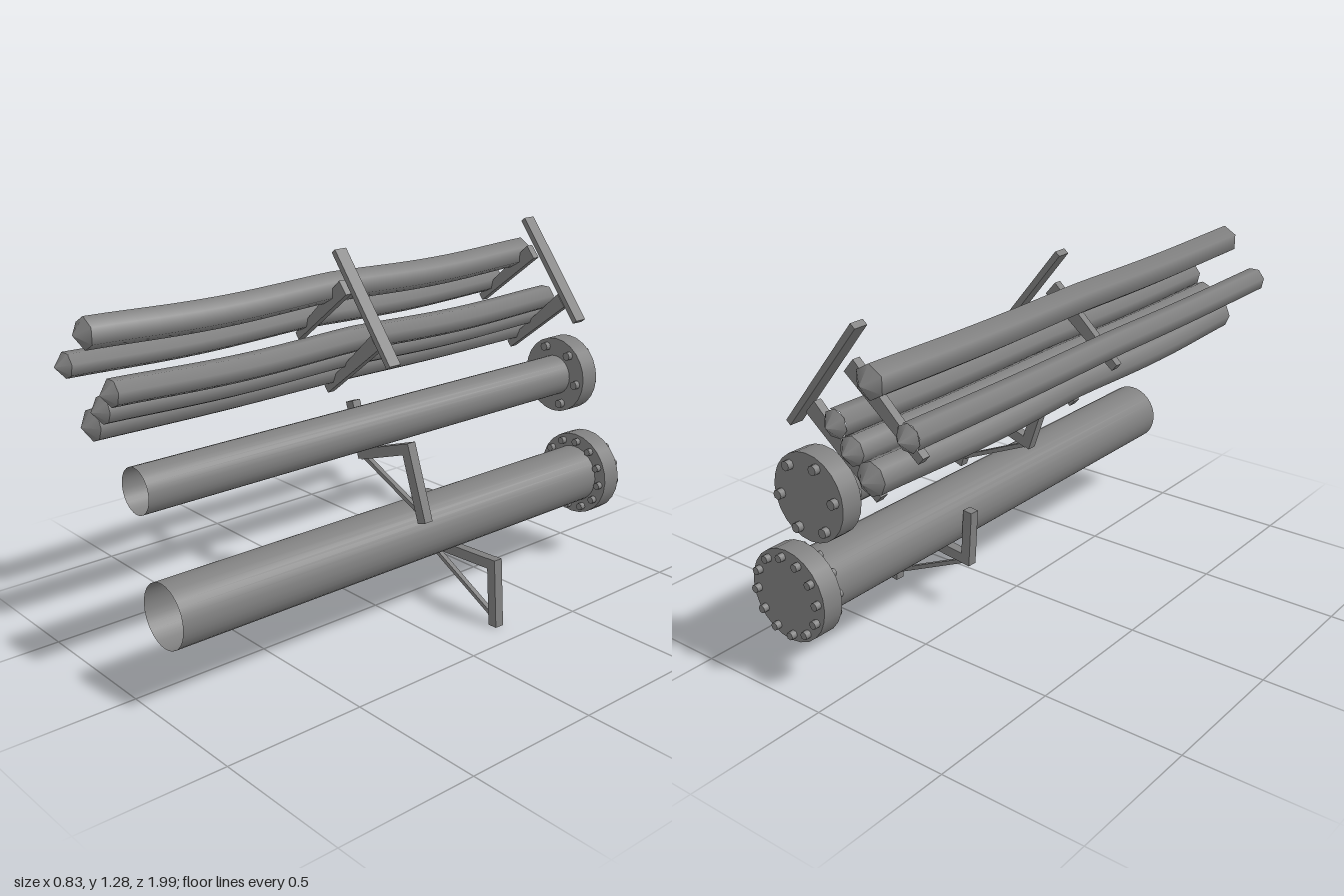
import * as THREE from 'three';

const material = new THREE.MeshStandardMaterial({ color: 0x808080 });
const pipeMaterial = new THREE.MeshStandardMaterial({ color: 0x808080, side: THREE.DoubleSide });

function add(parent, name, geometry, mat = material) {
  const mesh = new THREE.Mesh(geometry, mat);
  mesh.name = name;
  parent.add(mesh);
  return mesh;
}

// Flat bar in the xy plane between two points, optionally tapered
function bar(parent, name, [x1, y1], [x2, y2], w1, depth, w2 = w1) {
  const len = Math.hypot(x2 - x1, y2 - y1);
  const nx = -(y2 - y1) / len / 2, ny = (x2 - x1) / len / 2;
  const shape = new THREE.Shape([
    new THREE.Vector2(x1 + nx * w1, y1 + ny * w1),
    new THREE.Vector2(x1 - nx * w1, y1 - ny * w1),
    new THREE.Vector2(x2 - nx * w2, y2 - ny * w2),
    new THREE.Vector2(x2 + nx * w2, y2 + ny * w2),
  ]);
  const geometry = new THREE.ExtrudeGeometry(shape, { depth, bevelEnabled: false });
  return add(parent, name, geometry.translate(0, 0, -depth / 2));
}

// Open pipe with a bolted flange at the back
function flangedPipe(name, x, y, pipeR, flangeR, boltCount, boltRing, boltR, boltStart) {
  const group = new THREE.Group();
  group.name = name;
  group.position.set(x, y, 0);
  const front = 0.975, back = -0.915;
  add(group, 'pipe', new THREE.CylinderGeometry(pipeR, pipeR, front - back, 32, 1, true)
    .rotateX(Math.PI / 2).translate(0, 0, (front + back) / 2), pipeMaterial);
  add(group, 'flange', new THREE.CylinderGeometry(flangeR, flangeR, 0.075, 24)
    .rotateX(Math.PI / 2).translate(0, 0, back));
  for (let i = 0; i < boltCount; i++) {
    const a = boltStart + (i / boltCount) * Math.PI * 2;
    add(group, 'bolt', new THREE.CylinderGeometry(boltR, boltR, 0.115, 8).rotateX(Math.PI / 2)
      .translate(Math.cos(a) * boltRing, Math.sin(a) * boltRing, back));
  }
  return group;
}

// Cable with pointed ends that sags between its supports
function cable(x, y, r, sides, sagX, sagY) {
  const group = new THREE.Group();
  group.name = 'cable';
  group.position.set(x, y, 0);
  const half = 0.957, tip = 0.04;
  const shaft = new THREE.CylinderGeometry(r, r, half * 2, sides, 24, true).rotateX(Math.PI / 2);
  const p = shaft.attributes.position;
  for (let i = 0; i < p.count; i++) {
    const s = Math.abs(Math.sin((p.getZ(i) / half) * Math.PI)) ** 1.4;
    p.setXY(i, p.getX(i) + sagX * s, p.getY(i) + sagY * s);
  }
  add(group, 'cableShaft', shaft);
  for (const side of [1, -1]) {
    add(group, 'cableTip', new THREE.ConeGeometry(r, tip, sides, 1, true)
      .translate(0, tip / 2, 0).rotateX(side * Math.PI / 2).translate(0, 0, side * half));
  }
  return group;
}

// Cradle under a pipe: short arm, main arm, leg and diagonal brace
function bracket(name, z, pivotX, yaw, [shortArm, mainArm, leg, brace]) {
  const group = new THREE.Group();
  group.name = name;
  bar(group, 'shortArm', ...shortArm, 0.037, 0.034);
  bar(group, 'mainArm', ...mainArm, 0.037, 0.034);
  bar(group, 'leg', ...leg, 0.038, 0.034);
  bar(group, 'brace', ...brace, 0.015, 0.018);
  group.children.forEach((m) => m.geometry.translate(-pivotX, 0, 0));
  group.position.set(pivotX, 0, z);
  group.rotation.y = yaw;
  return group;
}

export function createModel() {
  const model = new THREE.Group();
  model.name = 'pipeAndCableRack';
  const deg = Math.PI / 180;

  // Pipes
  model.add(flangedPipe('lowerPipe', 0.153, 0.338, 0.108, 0.157, 12, 0.132, 0.0135, -6 * deg));
  model.add(flangedPipe('upperPipe', 0.035, 0.706, 0.075, 0.143, 6, 0.113, 0.016, -8 * deg));

  // Pipe brackets
  model.add(bracket('lowerBracket', -0.216, 0.385, -0.05, [
    [[0.017, 0.392], [0.032, 0.186]],
    [[0.016, 0.203], [0.394, 0.232]],
    [[0.376, 0.25], [0.394, 0.002]],
    [[0.05, 0.19], [0.385, 0.033]],
  ]));
  model.add(bracket('upperBracket', 0.015, 0.2, 0, [
    [[-0.102, 0.756], [-0.036, 0.563]],
    [[-0.042, 0.577], [0.2, 0.661]],
    [[0.181, 0.674], [0.272, 0.415]],
    [[-0.032, 0.567], [0.255, 0.442]],
  ]));

  // Cable supports: an upright with two tapered shelves
  for (const z of [0.015, -0.918]) {
    const support = new THREE.Group();
    support.name = 'cableSupport';
    support.position.z = z;
    bar(support, 'upright', [-0.171, 1.272], [0.109, 0.922], 0.021, 0.049);
    bar(support, 'upperShelf', [-0.137, 1.15], [-0.394, 0.93], 0.056, 0.028, 0.028);
    bar(support, 'lowerShelf', [0.026, 0.989], [-0.231, 0.769], 0.056, 0.028, 0.028);
    model.add(support);
  }

  // Cables
  model.add(cable(-0.239, 1.131, 0.054, 6, 0.011, -0.011));
  model.add(cable(-0.373, 1.002, 0.044, 7, 0.009, -0.009));
  model.add(cable(-0.1, 0.975, 0.046, 7, 0.008, -0.01));
  model.add(cable(-0.16, 0.908, 0.047, 8, 0.006, -0.008));
  model.add(cable(-0.229, 0.842, 0.054, 8, -0.007, -0.007));
  return model;
}
